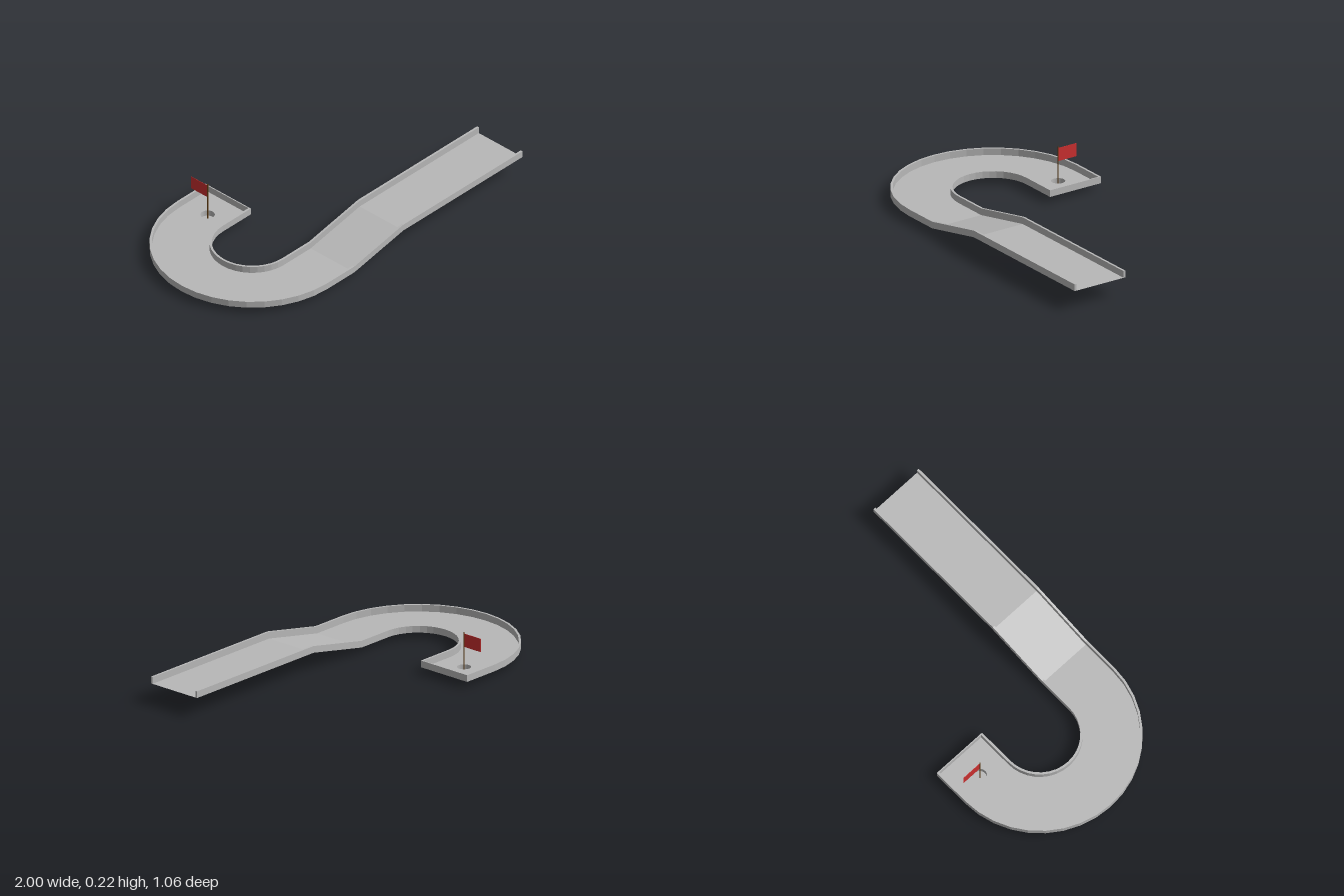
import * as THREE from 'three';

const LOW = 0.033, HIGH = 0.107, WALL_H = 0.037, WALL_T = 0.012;
const R_IN = 0.21, R_OUT = 0.532, BEND_X = -0.468, END_X = -0.257, END_T = 0.006;
const CUP = { x: -0.411, z: -0.371, r: 0.037 };

// Stations along the lane: a centre (x, y, z=0) and an angle giving the inner-to-outer direction
function laneStations(withLastStraight) {
  const list = [[1, HIGH], [0.104, HIGH], [-0.265, LOW]].map(([x, y]) => ({ x, y, a: 0 }));
  const n = 18;
  for (let i = 0; i <= n; i++) list.push({ x: BEND_X, y: LOW, a: (Math.PI * i) / n });
  if (withLastStraight) list.push({ x: END_X, y: LOW, a: Math.PI });
  return list;
}

// Sweep a section of [radius, height] points along the stations
function sweep(stations, section, closed) {
  const pos = [];
  const rings = stations.map(s => section.map(([r, h]) =>
    [s.x - Math.sin(s.a) * r, s.y + h, Math.cos(s.a) * r]));
  const quad = (a, b, c, d) => pos.push(...a, ...b, ...c, ...a, ...c, ...d);
  const m = section.length, edges = closed ? m : m - 1;
  for (let i = 0; i < rings.length - 1; i++) {
    for (let j = 0; j < edges; j++) {
      const k = (j + 1) % m;
      quad(rings[i][j], rings[i][k], rings[i + 1][k], rings[i + 1][j]);
    }
  }
  if (closed) {
    const s = rings[0], e = rings[rings.length - 1];
    quad(s[0], s[3], s[2], s[1]);
    quad(e[0], e[1], e[2], e[3]);
  }
  const g = new THREE.BufferGeometry();
  g.setAttribute('position', new THREE.Float32BufferAttribute(pos, 3));
  g.computeVertexNormals();
  return g;
}

export function createModel() {
  const group = new THREE.Group();
  const make = (name, color) => {
    const m = new THREE.MeshStandardMaterial({ color, side: THREE.DoubleSide });
    m.name = name;
    return m;
  };
  const grey = make('course grey', 0xb8b8b8);
  const red = make('flag red', 0xcc3030);
  const brown = make('pole brown', 0x5f3c12);
  const add = (name, geo, mat, x = 0, y = 0, z = 0) => {
    const mesh = new THREE.Mesh(geo, mat);
    mesh.name = name;
    mesh.position.set(x, y, z);
    group.add(mesh);
    return mesh;
  };

  // Thin lane floor: upper straight, ramp and bend
  const fIn = R_IN + WALL_T, fOut = R_OUT - WALL_T;
  add('laneFloor', sweep(laneStations(false), [[fOut, 0], [fIn, 0]], false), grey);

  // Floor of the last straight, with the hole cut out
  const shape = new THREE.Shape([
    [BEND_X, fIn], [END_X - END_T, fIn], [END_X - END_T, fOut], [BEND_X, fOut],
  ].map(([x, y]) => new THREE.Vector2(x, y)));
  const hole = new THREE.Path();
  hole.absarc(CUP.x, -CUP.z, CUP.r, 0, Math.PI * 2, true);
  shape.holes.push(hole);
  add('holeFloor', new THREE.ShapeGeometry(shape, 12).rotateX(-Math.PI / 2), grey, 0, LOW, 0);

  // Side walls and the closing end wall
  for (const [name, r] of [['innerWall', R_IN], ['outerWall', fOut]]) {
    const section = [[r, 0], [r + WALL_T, 0], [r + WALL_T, WALL_H], [r, WALL_H]];
    add(name, sweep(laneStations(true), section, true), grey);
  }
  add('endWall', new THREE.BoxGeometry(END_T, WALL_H, fOut - fIn), grey,
    END_X - END_T / 2, LOW + WALL_H / 2, -(fIn + fOut) / 2);

  // Cup below the hole
  add('cupSide', new THREE.CylinderGeometry(CUP.r, CUP.r, LOW, 24, 1, true), grey, CUP.x, LOW / 2, CUP.z);
  add('cupBottom', new THREE.CircleGeometry(CUP.r, 24).rotateX(-Math.PI / 2), grey, CUP.x, 0, CUP.z);

  // Pole and flag
  add('flagPole', new THREE.CylinderGeometry(0.003, 0.003, 0.225, 8), brown, CUP.x, 0.1125, CUP.z);
  add('flag', new THREE.BoxGeometry(0.002, 0.073, 0.114), red, CUP.x, 0.18, CUP.z - 0.06);

  return group;
}
